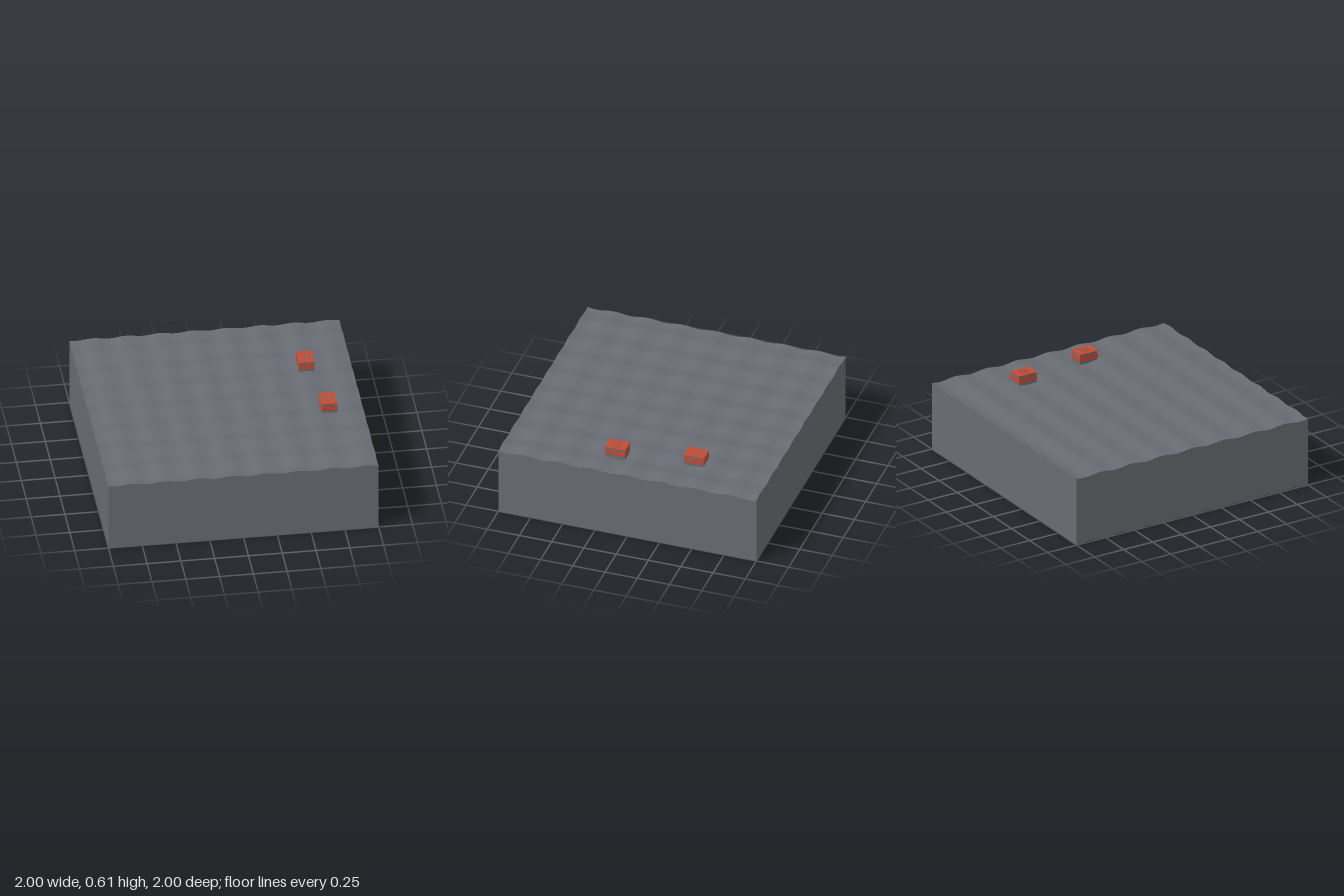
import * as THREE from 'three';

const slate = new THREE.MeshStandardMaterial({ color: 0x686c72, side: THREE.DoubleSide });
slate.name = 'slate grey';
const red = new THREE.MeshStandardMaterial({ color: 0xc64a32 });
red.name = 'brick red';

// gentle ripples of the upper surface
const surfaceY = (x, z) =>
  0.535 + 0.006 * Math.cos((x - 0.16) * 2 * Math.PI / 0.247) + 0.007 * Math.cos(z * 2 * Math.PI / 0.265);
// the lower rim ripples only along the -x side
const rimY = (x, z) => (x < -0.99 ? 0.005 - 0.005 * Math.cos((z - 1) * 2 * Math.PI / 0.25) : 0);

function add(group, name, geometry, material, x = 0, y = 0, z = 0) {
  const mesh = new THREE.Mesh(geometry, material);
  mesh.name = name;
  mesh.position.set(x, y, z);
  group.add(mesh);
  return mesh;
}

// rippled top sheet
function topSheet() {
  const g = new THREE.PlaneGeometry(2, 2, 80, 80).rotateX(-Math.PI / 2);
  const p = g.attributes.position;
  for (let i = 0; i < p.count; i++) p.setY(i, surfaceY(p.getX(i), p.getZ(i)));
  g.computeVertexNormals();
  return g;
}

// one side wall whose edges follow the ripples
function wall(angle) {
  const g = new THREE.PlaneGeometry(2, 1, 80, 1).translate(0, 0, 1).rotateY(angle);
  const p = g.attributes.position;
  for (let i = 0; i < p.count; i++) {
    const x = p.getX(i), z = p.getZ(i);
    p.setY(i, p.getY(i) > 0 ? surfaceY(x, z) : rimY(x, z));
  }
  return g;
}

// red lid with three slots
function lidGeometry(w, d) {
  const s = new THREE.Shape();
  s.moveTo(-w / 2, -d / 2).lineTo(w / 2, -d / 2).lineTo(w / 2, d / 2).lineTo(-w / 2, d / 2).closePath();
  for (const x of [-0.03, 0, 0.03]) {
    const h = new THREE.Path();
    h.moveTo(x - 0.005, -0.038).lineTo(x - 0.005, 0.038).lineTo(x + 0.005, 0.038).lineTo(x + 0.005, -0.038).closePath();
    s.holes.push(h);
  }
  return new THREE.ExtrudeGeometry(s, { depth: 0.004, bevelEnabled: false }).rotateX(-Math.PI / 2);
}

function crate(x, z) {
  const g = new THREE.Group();
  g.name = 'crate';
  const w = 0.115, d = 0.155;
  add(g, 'crateBody', new THREE.BoxGeometry(w - 0.002, 0.09, d - 0.002), slate, 0, 0.565, 0);
  // painted bands: a wide one and a narrow one above it
  for (const [y, h] of [[0.569, 0.03], [0.592, 0.008]])
    add(g, 'crateBand', new THREE.BoxGeometry(w, h, d), red, 0, y, 0);
  add(g, 'crateLid', lidGeometry(w, d), red, 0, 0.609, 0);
  g.position.set(x, 0, z);
  return g;
}

export function createModel() {
  const model = new THREE.Group();
  model.name = 'rippledBlockWithCrates';
  add(model, 'rippledTop', topSheet(), slate);
  for (let i = 0; i < 4; i++) add(model, 'sideWall', wall(i * Math.PI / 2), slate);
  model.add(crate(0.662, -0.417), crate(0.747, 0.163));
  return model;
}
